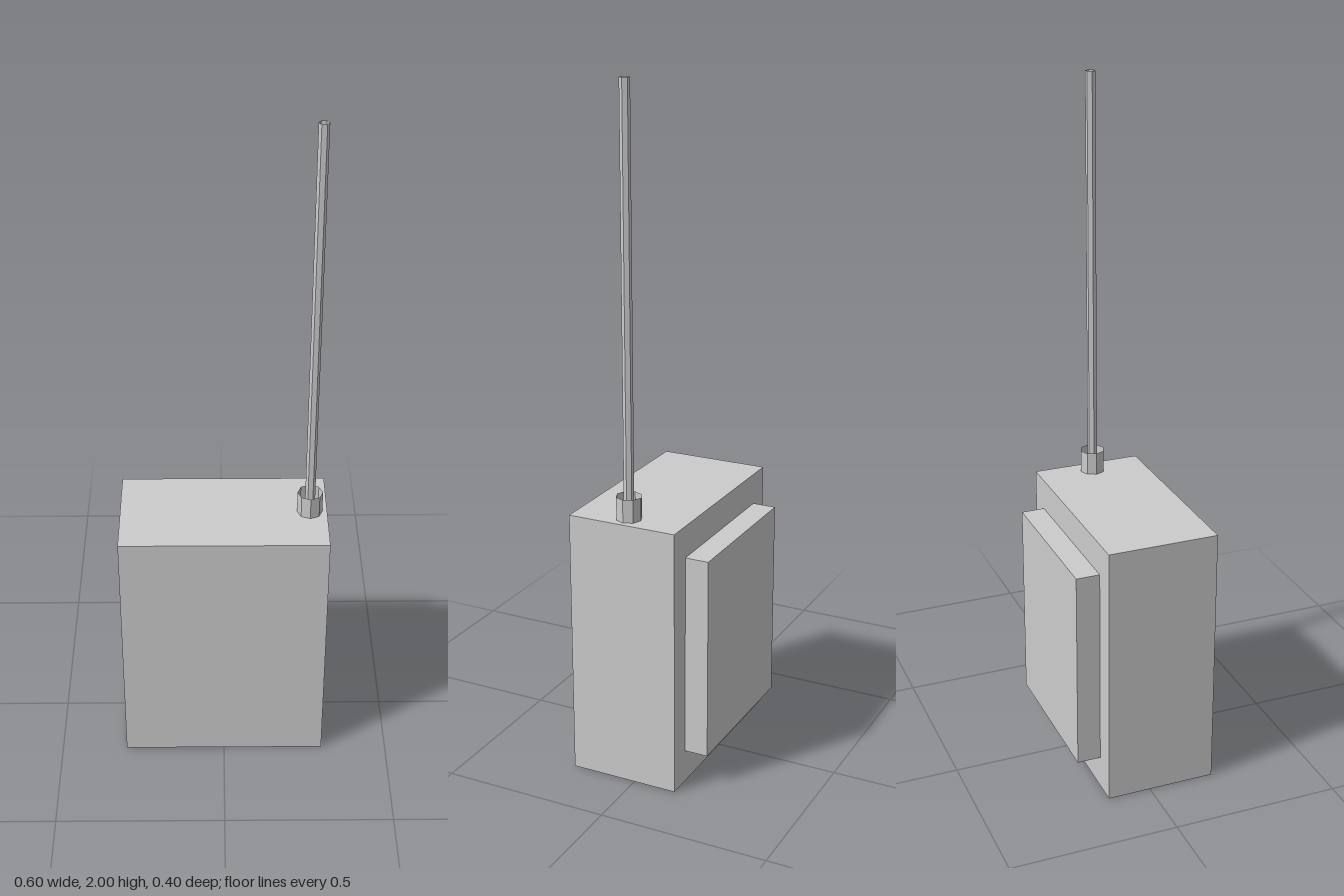
import * as THREE from 'three';

export function createModel() {
  const model = new THREE.Group();
  const grey = new THREE.MeshStandardMaterial({ color: 0xcccccc, side: THREE.DoubleSide });
  grey.name = 'plain grey';

  function add(name, geometry, x, y, z) {
    const mesh = new THREE.Mesh(geometry, grey);
    mesh.name = name;
    mesh.position.set(x, y, z);
    model.add(mesh);
    return mesh;
  }

  // Open, faceted upright tube between two heights
  function tube(name, radius, sides, bottom, top, turn) {
    const geometry = new THREE.CylinderGeometry(radius, radius, top - bottom, sides, 1, true).toNonIndexed();
    geometry.computeVertexNormals();
    add(name, geometry, 0.251, (bottom + top) / 2, 0.036).rotation.y = turn;
  }

  // Main case and the raised panel on its back
  add('case', new THREE.BoxGeometry(0.604, 0.794, 0.328), 0, 0.397, 0.035);
  add('backPanel', new THREE.BoxGeometry(0.466, 0.602, 0.07), 0, 0.399, -0.164);

  // Aerial and its socket
  tube('aerialSocket', 0.037, 8, 0.794, 0.862, 0);
  tube('aerial', 0.0145, 6, 0.794, 2, Math.PI / 6);

  return model;
}
